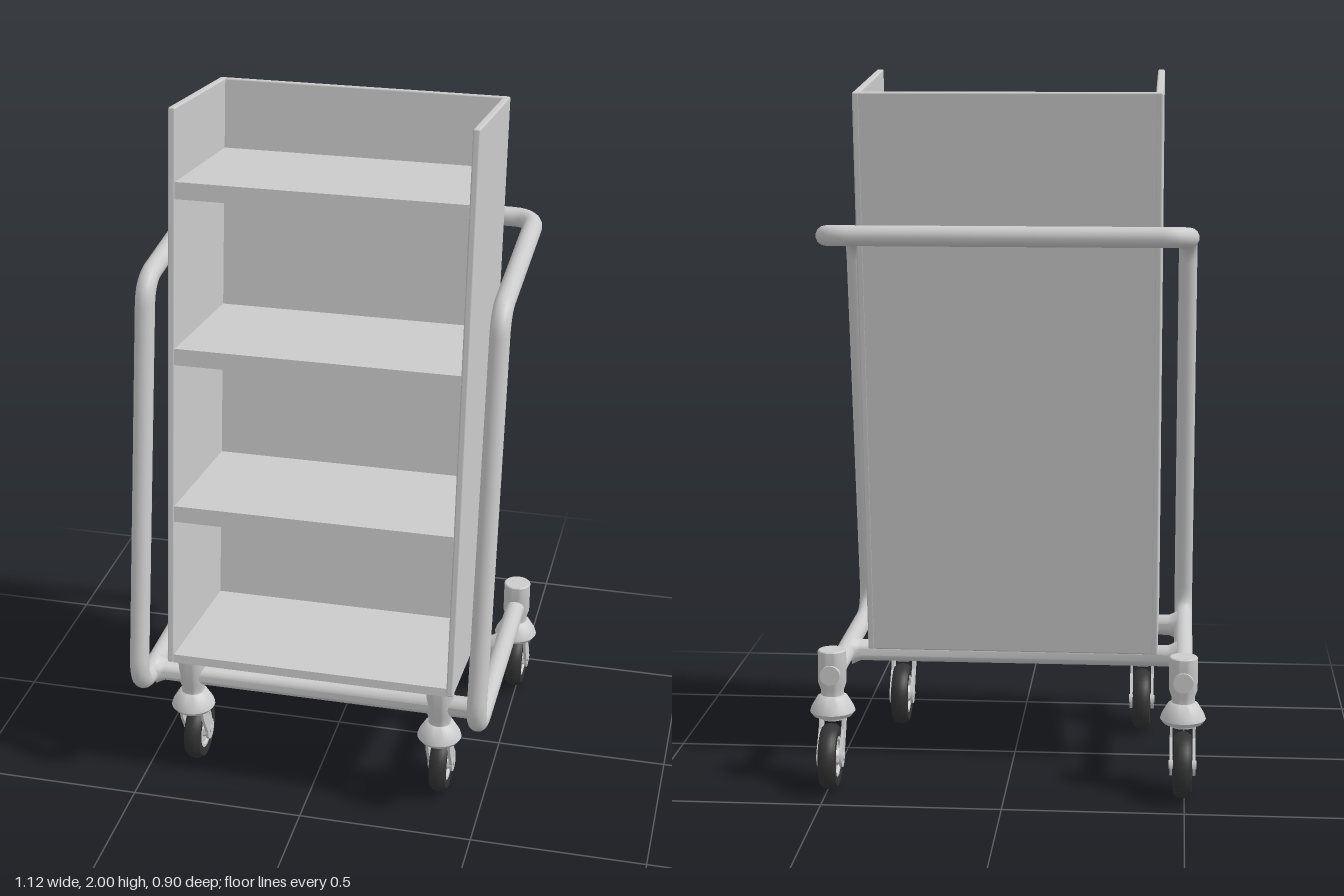
import * as THREE from 'three';
import { RoundedBoxGeometry } from 'three/addons/geometries/RoundedBoxGeometry.js';
import { toCreasedNormals } from 'three/addons/utils/BufferGeometryUtils.js';

const grey = new THREE.MeshStandardMaterial({ color: 0xcccccc });
const black = new THREE.MeshStandardMaterial({ color: 0x333333 });
const V = (x, y, z) => new THREE.Vector3(x, y, z);

function add(parent, name, geometry, x = 0, y = 0, z = 0, material = grey) {
  const mesh = new THREE.Mesh(geometry, material);
  mesh.name = name;
  mesh.position.set(x, y, z);
  parent.add(mesh);
  return mesh;
}

// Lathe from [radius, height] pairs, keeping hard edges sharp
function lathe(profile, segments = 28) {
  const points = profile.map(([r, h]) => new THREE.Vector2(r, h));
  return toCreasedNormals(new THREE.LatheGeometry(points, segments), 0.7);
}

// Polyline whose corners are rounded by the given lengths
function roundedPath(points, fillets) {
  const path = new THREE.CurvePath();
  let last = points[0];
  for (let i = 1; i < points.length - 1; i++) {
    const p = points[i];
    const a = p.clone().add(points[i - 1].clone().sub(p).setLength(fillets[i - 1]));
    const b = p.clone().add(points[i + 1].clone().sub(p).setLength(fillets[i - 1]));
    path.add(new THREE.LineCurve3(last, a));
    path.add(new THREE.QuadraticBezierCurve3(a, p, b));
    last = b;
  }
  path.add(new THREE.LineCurve3(last, points[points.length - 1]));
  return path;
}

// Leaning cabinet: its local origin is the lower front edge
function createCabinet() {
  const cabinet = new THREE.Group();
  cabinet.name = 'cabinet';
  const H = 1.616, D = 0.503;
  for (const s of [1, -1]) {
    add(cabinet, 'sidePanel', new RoundedBoxGeometry(0.02, H, D, 2, 0.005), s * 0.41, H / 2, -D / 2);
  }
  add(cabinet, 'backPanel', new RoundedBoxGeometry(0.838, H, 0.02, 2, 0.005), 0, H / 2, -D + 0.0105);
  add(cabinet, 'bottomPanel', new THREE.BoxGeometry(0.802, 0.025, D - 0.014), 0, 0.0125, -D / 2 + 0.006);
  for (const y of [0.461, 0.925, 1.392]) {
    add(cabinet, 'shelf', new THREE.BoxGeometry(0.802, 0.047, D - 0.014), 0, y, -D / 2 + 0.006);
  }
  cabinet.position.set(0, 0.395, 0.39);
  cabinet.rotation.x = -0.118;
  return cabinet;
}

// Swivel caster with its stem on the local y axis, wheel trailing to the back
function createCaster() {
  const caster = new THREE.Group();
  caster.name = 'caster';
  add(caster, 'stem', lathe([[0, 0.2], [0.055, 0.2], [0.064, 0.212], [0.06, 0.225], [0.042, 0.255],
    [0.033, 0.26], [0.033, 0.275], [0.04, 0.295], [0.04, 0.387], [0.037, 0.39], [0, 0.39]]));
  add(caster, 'forkCrown', new THREE.CylinderGeometry(0.037, 0.034, 0.014, 24), 0, 0.196, 0);

  // Slanted fork arm ending in a round eye at the axle
  const arm = new THREE.Shape();
  arm.moveTo(-0.022, 0.203);
  arm.lineTo(-0.03, 0.165);
  arm.lineTo(-0.074, 0.111);
  arm.absarc(-0.05, 0.093, 0.03, Math.PI * 0.8, Math.PI * 2.05, false);
  arm.lineTo(0.018, 0.165);
  arm.lineTo(0.03, 0.203);
  arm.closePath();
  const armGeometry = new THREE.ExtrudeGeometry(arm, { depth: 0.008, bevelEnabled: false, curveSegments: 16 });
  armGeometry.translate(0, 0, -0.004).rotateY(-Math.PI / 2);
  for (const s of [1, -1]) add(caster, 'forkArm', armGeometry, s * 0.032, 0, 0);

  // Wheel
  const tyre = lathe([[0.057, -0.022], [0.07, -0.026], [0.082, -0.024], [0.09, -0.014], [0.093, 0],
    [0.09, 0.014], [0.082, 0.024], [0.07, 0.026], [0.057, 0.022], [0.057, -0.022]], 36).rotateZ(Math.PI / 2);
  const hub = lathe([[0, -0.026], [0.022, -0.026], [0.026, -0.016], [0.044, -0.016], [0.048, -0.022],
    [0.058, -0.022], [0.058, 0.022], [0.048, 0.022], [0.044, 0.016], [0.026, 0.016], [0.022, 0.026], [0, 0.026]], 36)
    .rotateZ(Math.PI / 2);
  add(caster, 'tyre', tyre, 0, 0.093, -0.05, black);
  add(caster, 'hub', hub, 0, 0.093, -0.05);
  add(caster, 'axle', new THREE.CylinderGeometry(0.012, 0.012, 0.078, 16).rotateZ(Math.PI / 2), 0, 0.093, -0.05);
  return caster;
}

export function createModel() {
  const model = new THREE.Group();
  model.name = 'shelfTrolley';
  model.add(createCabinet());

  // One bent tube: lower rails, leaning uprights and push handle
  const X = 0.494, R = 0.028;
  const half = [V(X, 0.315, -0.31), V(X, 0.315, 0.435), V(X, 1.51, 0.225), V(X, 1.56, -0.374)];
  const mirrored = half.map(p => V(-p.x, p.y, p.z)).reverse();
  const path = roundedPath([...half, ...mirrored], [0.1, 0.07, 0.07, 0.07, 0.07, 0.1]);
  add(model, 'tubeFrame', new THREE.TubeGeometry(path, 360, R, 14, false));

  // Crossbars under the cabinet, flared where they meet the rails
  for (const z of [0.308, -0.04]) {
    const bar = lathe([[0.043, -0.475], [0.036, -0.462], [0.031, -0.45], [0.031, 0.45], [0.036, 0.462], [0.043, 0.475]], 20);
    add(model, 'crossbar', bar.rotateZ(Math.PI / 2), 0, 0.315, z);
  }

  for (const s of [1, -1]) {
    // Closed rail ends behind the rear stems
    add(model, 'railEnd', new THREE.CylinderGeometry(R, R, 0.045, 20).rotateX(Math.PI / 2), s * X, 0.325, -0.333);
    for (const [x, z] of [[0.37, 0.31], [X, -0.308]]) {
      const caster = createCaster();
      caster.position.set(s * x, 0, z);
      model.add(caster);
    }
  }
  return model;
}
